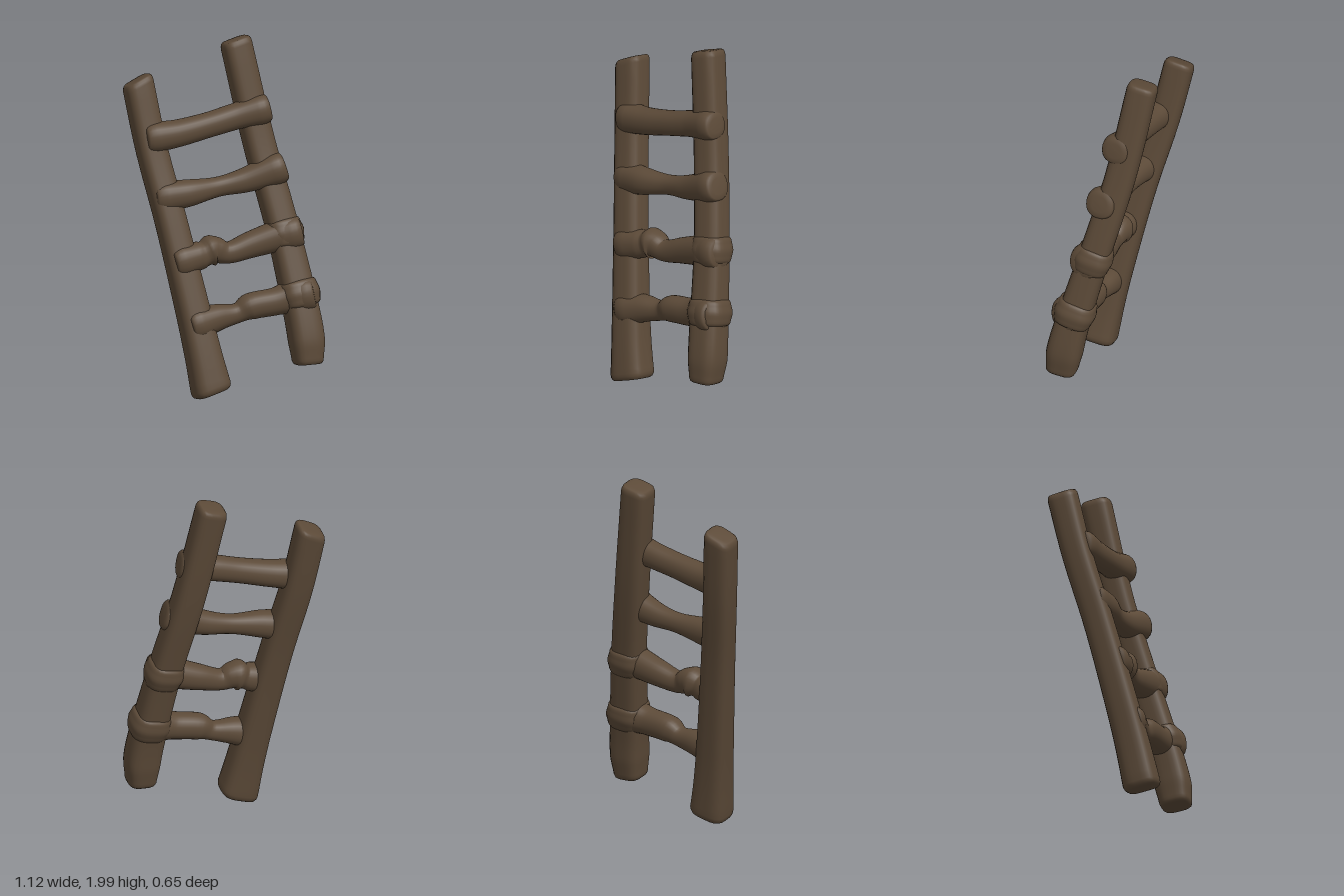
import * as THREE from 'three';

const SIDES = 28;

// Rounded-square tube through stations [x, y, z, halfWidth, halfDepth].
// ref: direction of the width axis; n: squareness (2 = round);
// cap: dome height at the ends; tilt: slant of the [first, last] end.
function loft(stations, { ref, n = 2, steps = 24, cap = 0.04, tilt = [0, 0] }) {
  const curve = new THREE.CatmullRomCurve3(stations.map(s => new THREE.Vector3(s[0], s[1], s[2])));
  const sizes = new THREE.CatmullRomCurve3(stations.map(s => new THREE.Vector3(s[3], s[4] ?? s[3], 0)));
  const dome = [[1, 0], [0.85, 0.04], [0.6, 0.18], [0.3, 0.4], [0, 0.85], [0, 1]];
  const rings = [];
  // dome height d and shrink s are both measured from the end ring
  const domeRings = [[1, 0], [0.84, 0], [0.62, 0.45], [0.8, 0.93], [0.92, 0.86], [0.98, 0.6]];
  const scales = [[0, 1], [0.4, 0.98], [0.75, 0.92], [0.93, 0.82], [0.99, 0.5], [1, 0]];
  for (let i = scales.length - 1; i > 0; i--) rings.push([0, -scales[i][0] * cap, scales[i][1], tilt[0]]);
  for (let i = 0; i <= steps; i++) {
    rings.push([i / steps, 0, 1, i === 0 ? tilt[0] : i === steps ? tilt[1] : 0]);
  }
  for (let i = 1; i < scales.length; i++) rings.push([1, scales[i][0] * cap, scales[i][1], tilt[1]]);

  const pos = [], index = [];
  for (const [t, along, scale, slant] of rings) {
    const c = curve.getPoint(t), size = sizes.getPoint(t), T = curve.getTangent(t);
    const U = ref.clone().addScaledVector(T, -ref.dot(T)).normalize();
    const V = T.clone().cross(U);
    for (let j = 0; j < SIDES; j++) {
      const a = (j / SIDES) * Math.PI * 2, ca = Math.cos(a), sa = Math.sin(a);
      const k = scale / Math.pow(Math.abs(ca) ** n + Math.abs(sa) ** n, 1 / n);
      const u = ca * k * size.x, v = sa * k * size.y;
      const p = c.clone().addScaledVector(U, u).addScaledVector(V, v).addScaledVector(T, along + slant * u);
      pos.push(p.x, p.y, p.z);
    }
  }
  for (let i = 0; i < rings.length - 1; i++) {
    for (let j = 0; j < SIDES; j++) {
      const a = i * SIDES + j, b = i * SIDES + (j + 1) % SIDES;
      index.push(a, b, a + SIDES, b, b + SIDES, a + SIDES);
    }
  }
  const geo = new THREE.BufferGeometry();
  geo.setAttribute('position', new THREE.Float32BufferAttribute(pos, 3));
  geo.setIndex(index);
  geo.computeVertexNormals();
  return geo;
}

export function createModel() {
  const group = new THREE.Group();
  group.name = 'ladder';
  const wood = new THREE.MeshStandardMaterial({ color: 0x5c4a38 });
  wood.name = 'dark brown wood';
  const add = (name, geo) => {
    const mesh = new THREE.Mesh(geo, wood);
    mesh.name = name;
    group.add(mesh);
  };

  // Leaning side rails, listed from the foot up
  const across = new THREE.Vector3(0.8, 0, -0.6);
  add('rightRail', loft([
    [-0.01, 0.08, 0.2, 0.108, 0.1],
    [-0.05, 0.24, 0.195, 0.098, 0.095],
    [-0.1, 0.43, 0.185, 0.092, 0.09],
    [-0.26, 1.0, 0.145, 0.084, 0.082],
    [-0.385, 1.4, 0.11, 0.083, 0.082],
    [-0.468, 1.74, 0.085, 0.083, 0.083],
  ], { ref: across, n: 3.6, cap: 0.04, tilt: [0.12, 0.3] }));
  add('leftRail', loft([
    [0.458, 0.215, -0.108, 0.082, 0.088],
    [0.447, 0.32, -0.118, 0.095, 0.098],
    [0.42, 0.45, -0.13, 0.095, 0.095],
    [0.29, 0.92, -0.18, 0.087, 0.085],
    [0.14, 1.4, -0.215, 0.085, 0.083],
    [0.005, 1.935, -0.232, 0.083, 0.083],
  ], { ref: across, n: 3.6, cap: 0.04, tilt: [0, 0.1] }));

  // Worn rungs from top to bottom, thicker where they meet the rails
  const rungs = [
    [[-0.355, 1.465, 0.12, 0.085], [-0.25, 1.48, 0.06, 0.076], [-0.09, 1.52, -0.045, 0.07],
      [0.03, 1.555, -0.13, 0.073], [0.145, 1.585, -0.2, 0.085]],
    [[-0.29, 1.135, 0.145, 0.086], [-0.18, 1.15, 0.09, 0.076], [-0.03, 1.175, -0.02, 0.055],
      [0.09, 1.2, -0.1, 0.068], [0.24, 1.255, -0.19, 0.09]],
    [[-0.18, 0.785, 0.175, 0.09], [-0.09, 0.81, 0.11, 0.077], [-0.035, 0.83, 0.065, 0.077],
      [0.03, 0.81, 0.025, 0.06], [0.14, 0.845, -0.06, 0.073], [0.25, 0.88, -0.13, 0.085],
      [0.335, 0.9, -0.18, 0.098]],
    [[-0.085, 0.435, 0.195, 0.092], [0.0, 0.46, 0.125, 0.075], [0.1, 0.478, 0.055, 0.055],
      [0.16, 0.51, 0.015, 0.074], [0.28, 0.53, -0.06, 0.076], [0.36, 0.55, -0.115, 0.093],
      [0.43, 0.565, -0.137, 0.1]],
  ];
  const up = new THREE.Vector3(0, 1, 0);
  rungs.forEach((pts, i) => add(`rung${i + 1}`, loft(pts, { ref: up, n: 2.3, steps: 32, cap: 0.06 })));

  // Collars where the two lower rungs wrap the left rail
  [[0.9, 0.298, -0.18, 0.1], [0.565, 0.395, -0.143, 0.108]].forEach(([y, x, z, r], i) => {
    add(`railCollar${i + 1}`, loft([
      [x + 0.012, y - 0.04, z + 0.004, r], [x, y, z, r + 0.008], [x - 0.012, y + 0.04, z - 0.004, r],
    ], { ref: across, n: 2.8, steps: 6, cap: 0.035 }));
  });
  return group;
}
